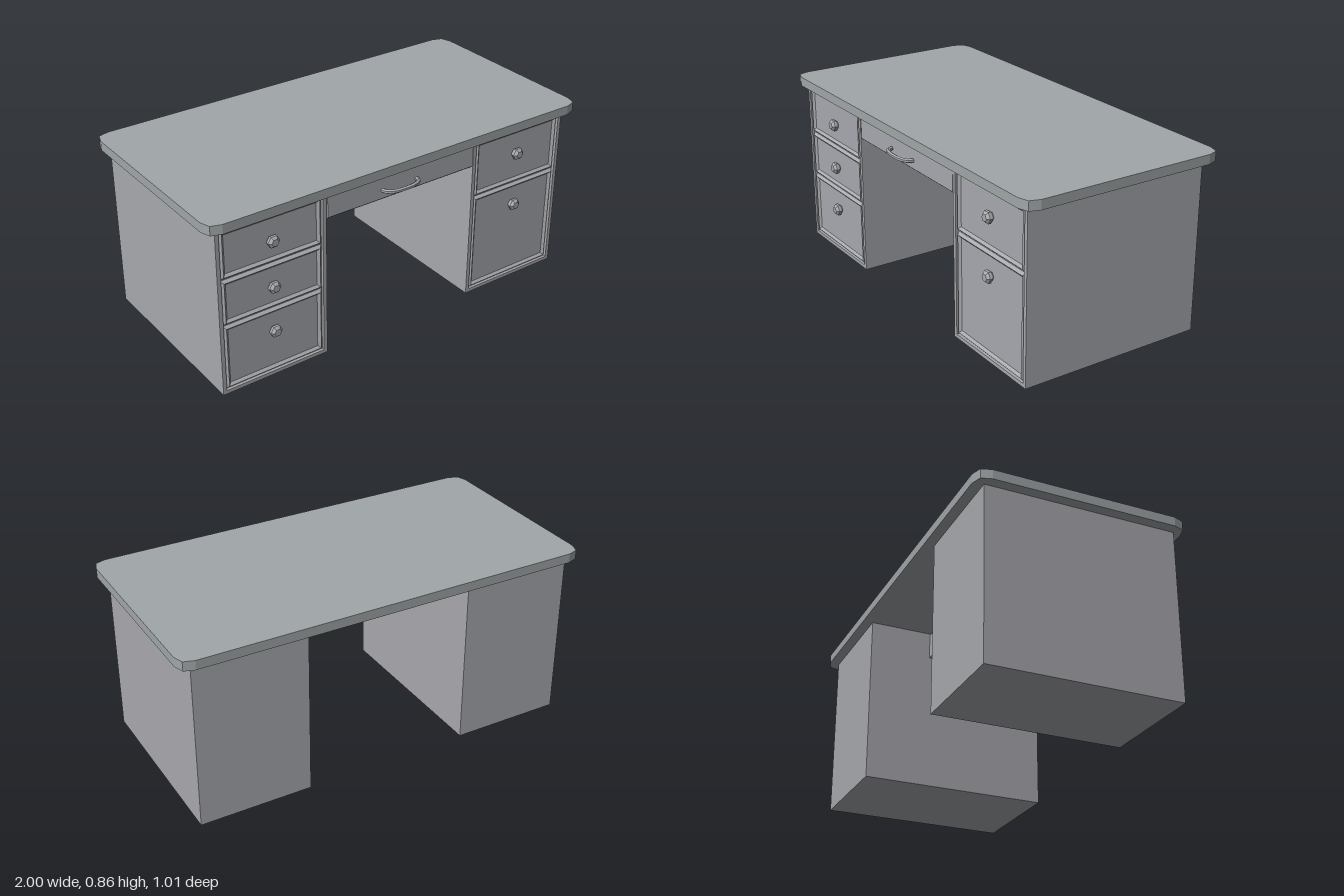
import * as THREE from 'three';

const bodyMat = new THREE.MeshStandardMaterial({ color: 0xa8a9ae, flatShading: true });
bodyMat.name = 'body grey';
const topMat = new THREE.MeshStandardMaterial({ color: 0xa0a6a8, flatShading: true });
topMat.name = 'worktop grey';

const FRONT = 0.452, BACK = -0.457, RECESS = 0.438, UNDERSIDE = 0.816;

function add(parent, name, geometry, material = bodyMat) {
  const mesh = new THREE.Mesh(geometry, material);
  mesh.name = name;
  parent.add(mesh);
  return mesh;
}

function polygon(points) {
  return points.map(([x, y]) => new THREE.Vector2(x, y));
}

function rectangle(x0, x1, y0, y1) {
  return polygon([[x0, y0], [x1, y0], [x1, y1], [x0, y1]]);
}

// Drawer front: rectangular loops, each [inset, z], forming a raised rim round a flat panel
function drawerFrontGeometry(x0, x1, y0, y1) {
  const loops = [[0, RECESS], [0.012, FRONT - 0.001], [0.024, RECESS + 0.002]].map(([d, z]) =>
    rectangle(x0 + d, x1 - d, y0 + d, y1 - d).map((p) => [p.x, p.y, z]));
  const pos = [];
  const quad = (a, b, c, d) => pos.push(...a, ...b, ...c, ...a, ...c, ...d);
  for (let i = 0; i < 2; i++) {
    for (let k = 0; k < 4; k++) {
      const n = (k + 1) % 4;
      quad(loops[i][k], loops[i][n], loops[i + 1][n], loops[i + 1][k]);
    }
  }
  quad(...loops[2]);
  const g = new THREE.BufferGeometry();
  g.setAttribute('position', new THREE.Float32BufferAttribute(pos, 3));
  g.computeVertexNormals();
  return g;
}

// Six-sided knob with a chamfered face, turned to point forwards
function knobGeometry() {
  const profile = polygon([[0.02, 0], [0.03, 0.012], [0.03, 0.024], [0.018, 0.036], [0, 0.036]]);
  return new THREE.LatheGeometry(profile, 6, Math.PI / 2).rotateX(Math.PI / 2);
}

// Pedestal: carcass, front frame, and a stack of drawers [bottom, top, knob height]
function makePedestal(name, x0, x1, drawers) {
  const group = new THREE.Group();
  group.name = name;
  const cx = (x0 + x1) / 2;
  const depth = RECESS - BACK;

  const carcass = new THREE.BoxGeometry(x1 - x0, UNDERSIDE, depth);
  carcass.translate(cx, UNDERSIDE / 2, BACK + depth / 2);
  add(group, 'carcass', carcass);

  const frame = new THREE.Shape(rectangle(x0, x1, 0, UNDERSIDE));
  frame.holes.push(new THREE.Path(rectangle(x0 + 0.018, x1 - 0.018, 0.018, 0.802)));
  const frameGeo = new THREE.ExtrudeGeometry(frame, { depth: FRONT - RECESS, bevelEnabled: false });
  add(group, 'frontFrame', frameGeo.translate(0, 0, RECESS));

  for (const [y0, y1, knobY] of drawers) {
    add(group, 'drawerFront', drawerFrontGeometry(x0 + 0.02, x1 - 0.02, y0, y1));
    add(group, 'drawerKnob', knobGeometry()).position.set(cx, knobY, RECESS + 0.001);
  }
  return group;
}

// Worktop: rectangle with two-facet corners
function worktopGeometry() {
  const hx = 1, hz = 0.5;
  const corner = [[0, 0.065], [0.016, 0.016], [0.065, 0]];
  const pts = [];
  for (const [sx, sz, flip] of [[1, 1, 0], [-1, 1, 1], [-1, -1, 0], [1, -1, 1]]) {
    const list = flip ? [...corner].reverse() : corner;
    for (const [a, b] of list) pts.push([sx * (hx - a), sz * (hz - b)]);
  }
  const g = new THREE.ExtrudeGeometry(new THREE.Shape(polygon(pts)), { depth: 0.045, bevelEnabled: false });
  return g.rotateX(-Math.PI / 2).translate(0, UNDERSIDE, -0.005);
}

// Centre drawer: side profile with a bevelled lower front edge, swept across x
function centreDrawerGeometry() {
  const profile = polygon([[-0.15, 0.68], [0.44, 0.68], [FRONT, 0.69], [FRONT, 0.808], [-0.15, 0.808]]);
  const g = new THREE.ExtrudeGeometry(new THREE.Shape(profile), { depth: 0.8, bevelEnabled: false });
  return g.rotateY(-Math.PI / 2).translate(0.397, 0, 0);
}

export function createModel() {
  const desk = new THREE.Group();
  desk.name = 'desk';

  add(desk, 'worktop', worktopGeometry(), topMat);

  desk.add(makePedestal('rightPedestal', -0.95, -0.41, [
    [0.568, 0.8, 0.675], [0.344, 0.564, 0.451], [0.02, 0.34, 0.227],
  ]));
  desk.add(makePedestal('leftPedestal', 0.4, 0.94, [
    [0.52, 0.8, 0.675], [0.02, 0.516, 0.405],
  ]));

  add(desk, 'centreDrawer', centreDrawerGeometry());

  // Bowed pull handle
  const bow = new THREE.CatmullRomCurve3([[-0.095, 0.445], [-0.085, 0.475], [-0.045, 0.492],
    [0, 0.495], [0.045, 0.492], [0.085, 0.475], [0.095, 0.445]]
    .map(([x, z]) => new THREE.Vector3(x - 0.02, 0.73, z)));
  add(desk, 'centreDrawerHandle', new THREE.TubeGeometry(bow, 16, 0.01, 6, false));

  return desk;
}
